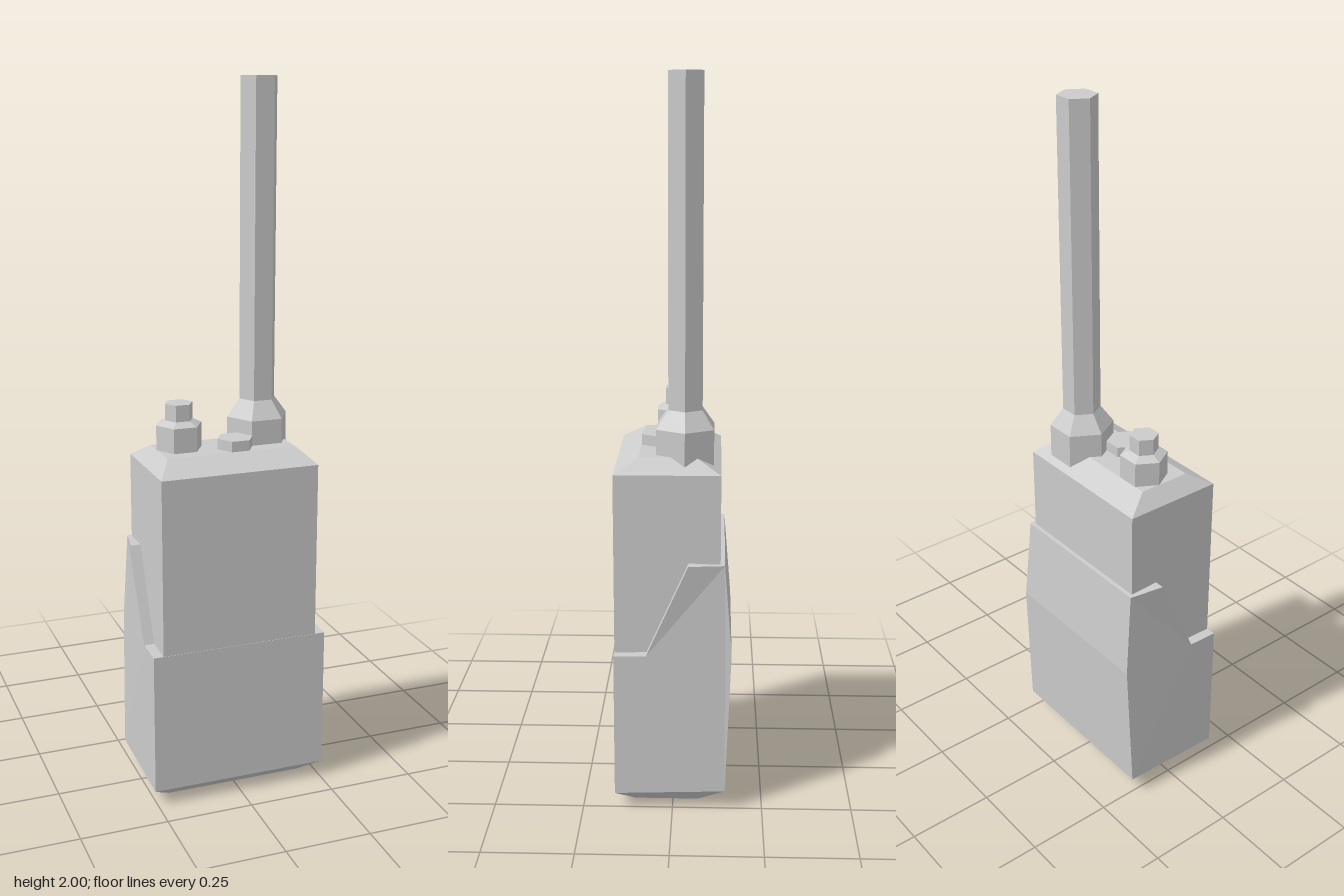
import * as THREE from 'three';

const material = new THREE.MeshStandardMaterial({ color: 0xcccccc, flatShading: true });

function add(group, name, geometry) {
  geometry.computeVertexNormals();
  const mesh = new THREE.Mesh(geometry, material);
  mesh.name = name;
  group.add(mesh);
  return mesh;
}

// Six-sided block between two rectangles: { x: half width, front: [z, y], back: [z, y] }
function taperedBlock(bottom, top) {
  const geometry = new THREE.BoxGeometry(2, 2, 2);
  const p = geometry.attributes.position;
  for (let i = 0; i < p.count; i++) {
    const end = p.getY(i) > 0 ? top : bottom;
    const [z, y] = p.getZ(i) > 0 ? end.front : end.back;
    p.setXYZ(i, p.getX(i) * end.x, y, z);
  }
  return geometry;
}

// Hexagonal turned part from [radius, y] pairs, corners pointing along x
function hexPart(profile) {
  return new THREE.LatheGeometry(profile.map(([r, y]) => new THREE.Vector2(r, y)), 6, Math.PI / 2);
}

export function createModel() {
  const radio = new THREE.Group();
  radio.name = 'handheldRadio';

  // Main case and its bevelled top
  const rim = { x: 0.228, front: [0.16, 0.96], back: [-0.13, 0.96] };
  add(radio, 'case', taperedBlock({ x: 0.228, front: [0.16, 0.06], back: [-0.13, 0.06] }, rim));
  add(radio, 'topBevel', taperedBlock(rim, { x: 0.188, front: [0.092, 1], back: [-0.062, 1] }));

  // Battery shell: side outline as [z, y], extruded across the width
  const outline = [[0.161, 0.045], [0.161, 0.455], [0.072, 0.457], [-0.043, 0.715],
    [-0.142, 0.712], [-0.162, 0.46], [-0.146, 0.055]];
  const shape = new THREE.Shape(outline.map(([z, y]) => new THREE.Vector2(-z, y)));
  const shell = new THREE.ExtrudeGeometry(shape, { depth: 0.514, bevelEnabled: false });
  shell.translate(0, 0, -0.257).rotateY(Math.PI / 2);
  // Narrow the back corners toward the top
  const p = shell.attributes.position;
  for (let i = 0; i < p.count; i++) {
    if (p.getZ(i) > -0.13) continue;
    const y = p.getY(i);
    const half = y > 0.6 ? 0.238 : y > 0.3 ? 0.248 : 0.257;
    p.setX(i, Math.sign(p.getX(i)) * half);
  }
  add(radio, 'batteryShell', shell);

  // Chamfered foot
  add(radio, 'base', taperedBlock(
    { x: 0.2, front: [0.105, 0], back: [-0.07, 0] },
    { x: 0.257, front: [0.161, 0.045], back: [-0.146, 0.055] }));

  // Controls and antenna
  add(radio, 'antenna', hexPart([[0, 0.96], [0.09, 0.96], [0.09, 1.07], [0.053, 1.12], [0.053, 2], [0, 2]]))
    .position.set(0.12, 0, -0.032);
  add(radio, 'knob', hexPart([[0, 0.98], [0.066, 0.98], [0.066, 1.07], [0.04, 1.083], [0.04, 1.13], [0, 1.13]]))
    .position.set(-0.123, 0, -0.005);
  add(radio, 'button', hexPart([[0, 0.98], [0.052, 0.98], [0.052, 1.03], [0, 1.03]]))
    .position.set(0.025, 0, 0.045);

  return radio;
}
